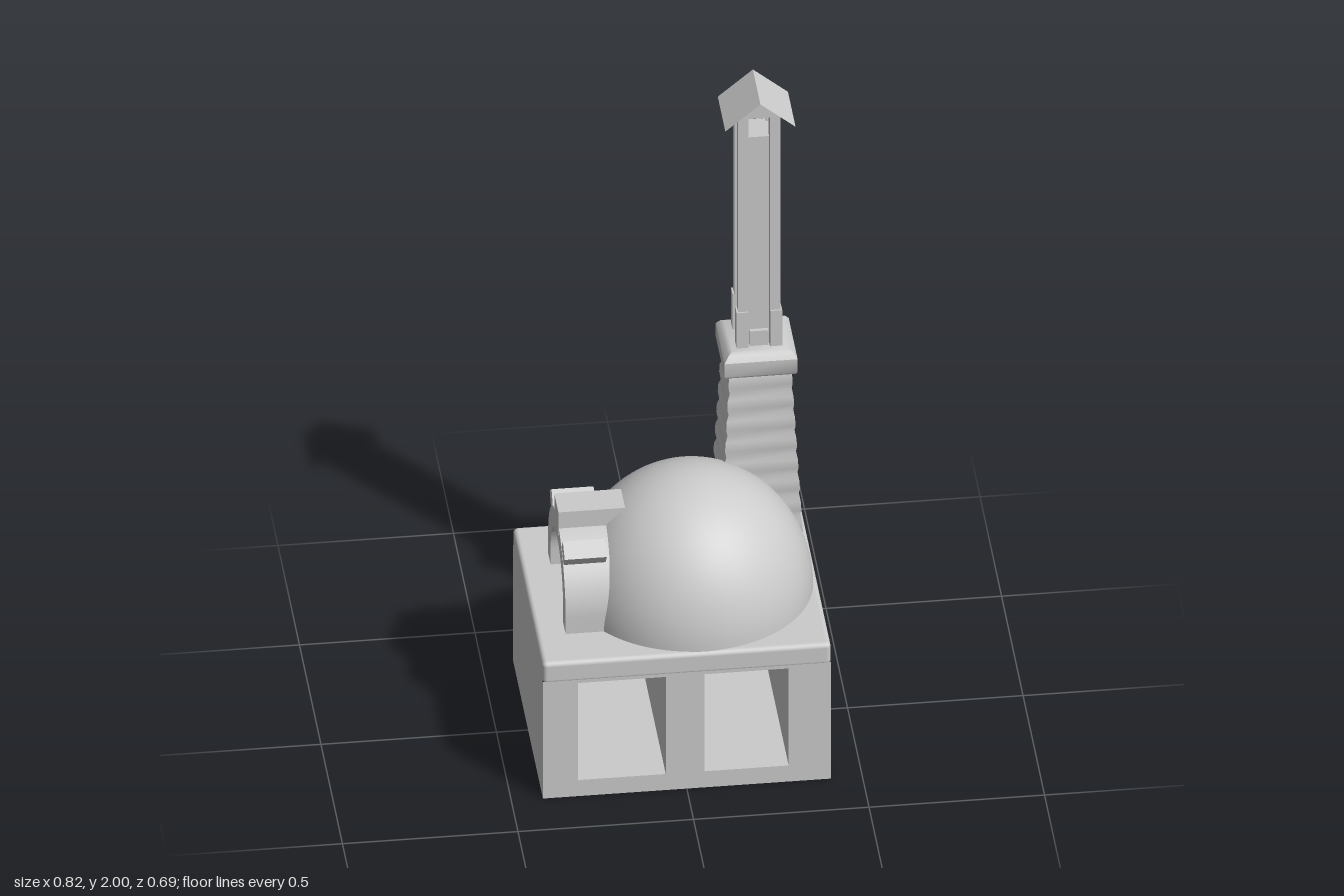
import * as THREE from 'three';
import { toCreasedNormals } from 'three/addons/utils/BufferGeometryUtils.js';
import { RoundedBoxGeometry } from 'three/addons/geometries/RoundedBoxGeometry.js';

const grey = new THREE.MeshStandardMaterial({ color: 0xcccccc });
const thin = new THREE.MeshStandardMaterial({ color: 0xcccccc, side: THREE.DoubleSide });

function add(parent, name, geometry, x = 0, y = 0, z = 0, material = grey) {
  const mesh = new THREE.Mesh(geometry, material);
  mesh.name = name;
  mesh.position.set(x, y, z);
  parent.add(mesh);
  return mesh;
}

// Box with some faces left out (order: +x, -x, +y, -y, +z, -z)
function openBox(w, h, d, skip) {
  const g = new THREE.BoxGeometry(w, h, d);
  const index = Array.from(g.index.array).filter((_, i) => !skip.includes(Math.floor(i / 6)));
  g.setIndex(index);
  g.clearGroups();
  return g;
}

// Square column lofted through [y, halfWidth] rings, capped at both ends
function squareLoft(rings) {
  const pos = [], idx = [];
  for (const [y, r] of rings) pos.push(-r, y, r, r, y, r, r, y, -r, -r, y, -r);
  const n = rings.length;
  for (let i = 0; i < n - 1; i++) for (let k = 0; k < 4; k++) {
    const a = i * 4 + k, b = i * 4 + (k + 1) % 4;
    idx.push(a, b, b + 4, a, b + 4, a + 4);
  }
  const t = (n - 1) * 4;
  idx.push(t, t + 1, t + 2, t, t + 2, t + 3, 0, 2, 1, 0, 3, 2);
  const g = new THREE.BufferGeometry();
  g.setAttribute('position', new THREE.Float32BufferAttribute(pos, 3));
  g.setIndex(idx);
  g.computeVertexNormals();
  return toCreasedNormals(g, 0.6);
}

function rectPath(x0, y0, x1, y1) {
  return new THREE.Path().moveTo(x0, y0).lineTo(x0, y1).lineTo(x1, y1).lineTo(x1, y0).closePath();
}

function makeBase() {
  const base = new THREE.Group();
  base.name = 'base';
  const W = 0.41, D = 0.345, top = 0.4;
  // Hollow plinth: side and back walls, and a front wall with two openings
  add(base, 'plinthWalls', openBox(2 * W, top, 2 * D, [2, 3, 4]), 0, top / 2, 0, thin);
  const front = new THREE.Shape().moveTo(-W, 0).lineTo(W, 0).lineTo(W, top).lineTo(-W, top).closePath();
  for (const [x0, x1] of [[-0.31, -0.06], [0.05, 0.29]]) {
    front.holes.push(rectPath(x0, 0.055, x1, 0.388));
    // Wood store behind each opening
    add(base, 'niche', openBox(x1 - x0, 0.333, 0.535, [4]), (x0 + x1) / 2, 0.2215, D - 0.2675, thin);
  }
  add(base, 'plinthFront', new THREE.ShapeGeometry(front), 0, 0, D, thin);
  add(base, 'slab', new RoundedBoxGeometry(0.822, 0.072, 0.692, 3, 0.014), 0, 0.426, 0);
  return base;
}

function makeOven() {
  const oven = new THREE.Group();
  oven.name = 'oven';
  const cx = 0.055, R = 0.345, H = 0.377, floor = 0.458, spring = 0.515;

  // Dome, with the triangles inside the mouth removed
  const profile = [];
  for (let i = 0; i <= 28; i++) {
    const a = (i / 28) * Math.PI / 2;
    profile.push(new THREE.Vector2(Math.max(R * Math.cos(a), 1e-4), H * Math.sin(a)));
  }
  const dome = new THREE.LatheGeometry(profile, 72);
  dome.scale(1, 1, 0.98).translate(cx, floor, 0);
  const p = dome.attributes.position, src = dome.index.array, kept = [];
  for (let i = 0; i < src.length; i += 3) {
    const t = [src[i], src[i + 1], src[i + 2]];
    const mean = f => t.reduce((s, v) => s + f(v), 0) / 3;
    const x = mean(v => p.getX(v)), y = mean(v => p.getY(v)), z = mean(v => p.getZ(v));
    const inMouth = x < 0 && Math.hypot(z, Math.max(y - spring, 0)) < 0.165;
    if (!inMouth) kept.push(...t);
  }
  dome.setIndex(kept);
  add(oven, 'dome', dome, 0, 0, 0, thin);

  // Arched mouth
  const ro = 0.205, ri = 0.145;
  const arch = new THREE.Shape().moveTo(ri, floor).lineTo(ro, floor).lineTo(ro, spring);
  arch.absarc(0, spring, ro, 0, Math.PI, false);
  arch.lineTo(-ro, floor).lineTo(-ri, floor).lineTo(-ri, spring);
  arch.absarc(0, spring, ri, Math.PI, 0, true);
  arch.closePath();
  const archGeo = new THREE.ExtrudeGeometry(arch, { depth: 0.165, bevelEnabled: false, curveSegments: 24 });
  archGeo.rotateY(-Math.PI / 2);
  add(oven, 'mouthArch', toCreasedNormals(archGeo, 0.6), -0.163, 0, 0);

  // Raised keystone and side stones
  add(oven, 'keystone', new THREE.BoxGeometry(0.19, 0.08, 0.096), -0.234, 0.73, -0.003);
  for (const s of [-1, 1]) {
    const a = s * 0.66;
    const stone = add(oven, 'archStone', new THREE.BoxGeometry(0.12, 0.07, 0.055),
      -0.267, spring + 0.215 * Math.cos(a), 0.215 * Math.sin(a));
    stone.rotation.x = a;
  }
  return oven;
}

function makeChimney() {
  const chimney = new THREE.Group();
  chimney.name = 'chimney';
  chimney.position.set(0.268, 0, -0.219);

  // Tapered stack of bulging stone courses
  const rings = [], courses = 9, y0 = 0.455, y1 = 1.085;
  for (let c = 0; c < courses; c++) for (const [t, bulge] of [[0, -0.003], [0.3, 0.002], [0.7, 0.002], [0.97, -0.003]]) {
    const f = (c + t) / courses;
    rings.push([y0 + (y1 - y0) * f, 0.12 - 0.033 * f + bulge]);
  }
  add(chimney, 'stoneStack', squareLoft(rings));
  add(chimney, 'collar', squareLoft([[1.075, 0.099], [1.083, 0.104], [1.128, 0.104], [1.145, 0.092], [1.152, 0.08]]));

  // Flue: corner posts around recessed panels, open just below the roof
  const post = 0.03, r = 0.06;
  add(chimney, 'flueCore', new THREE.BoxGeometry(0.09, 0.72, 0.09), 0, 1.5, 0);
  for (const sx of [-1, 1]) for (const sz of [-1, 1]) {
    const o = r - post / 2;
    add(chimney, 'cornerPost', new THREE.BoxGeometry(post, 0.8, post), sx * o, 1.54, sz * o);
    add(chimney, 'postSleeve', new THREE.BoxGeometry(0.034, 0.13, 0.034), sx * 0.048, 1.208, sz * 0.048);
  }
  for (let k = 0; k < 4; k++) {
    const foot = add(chimney, 'footPanel', new THREE.BoxGeometry(0.054, 0.06, 0.014).translate(0, 0, 0.05), 0, 1.172, 0);
    foot.rotation.y = k * Math.PI / 2;
  }

  // Gable block and thin pitched roof
  const gable = new THREE.Shape().moveTo(-0.068, 1.933).lineTo(0.068, 1.933).lineTo(0.068, 1.941).lineTo(0, 1.998).lineTo(-0.068, 1.941).closePath();
  add(chimney, 'gable', new THREE.ExtrudeGeometry(gable, { depth: 0.12, bevelEnabled: false }), 0, 0, -0.06);
  const slope = Math.hypot(0.1, 0.085), pitch = Math.atan2(0.085, 0.1);
  for (const s of [-1, 1]) {
    const side = add(chimney, 'roofSide', new THREE.PlaneGeometry(slope, 0.176).rotateX(-Math.PI / 2), s * 0.05, 1.9575, 0, thin);
    side.rotation.z = -s * pitch;
  }
  return chimney;
}

export function createModel() {
  const model = new THREE.Group();
  model.name = 'outdoorOven';
  model.add(makeBase(), makeOven(), makeChimney());
  return model;
}
